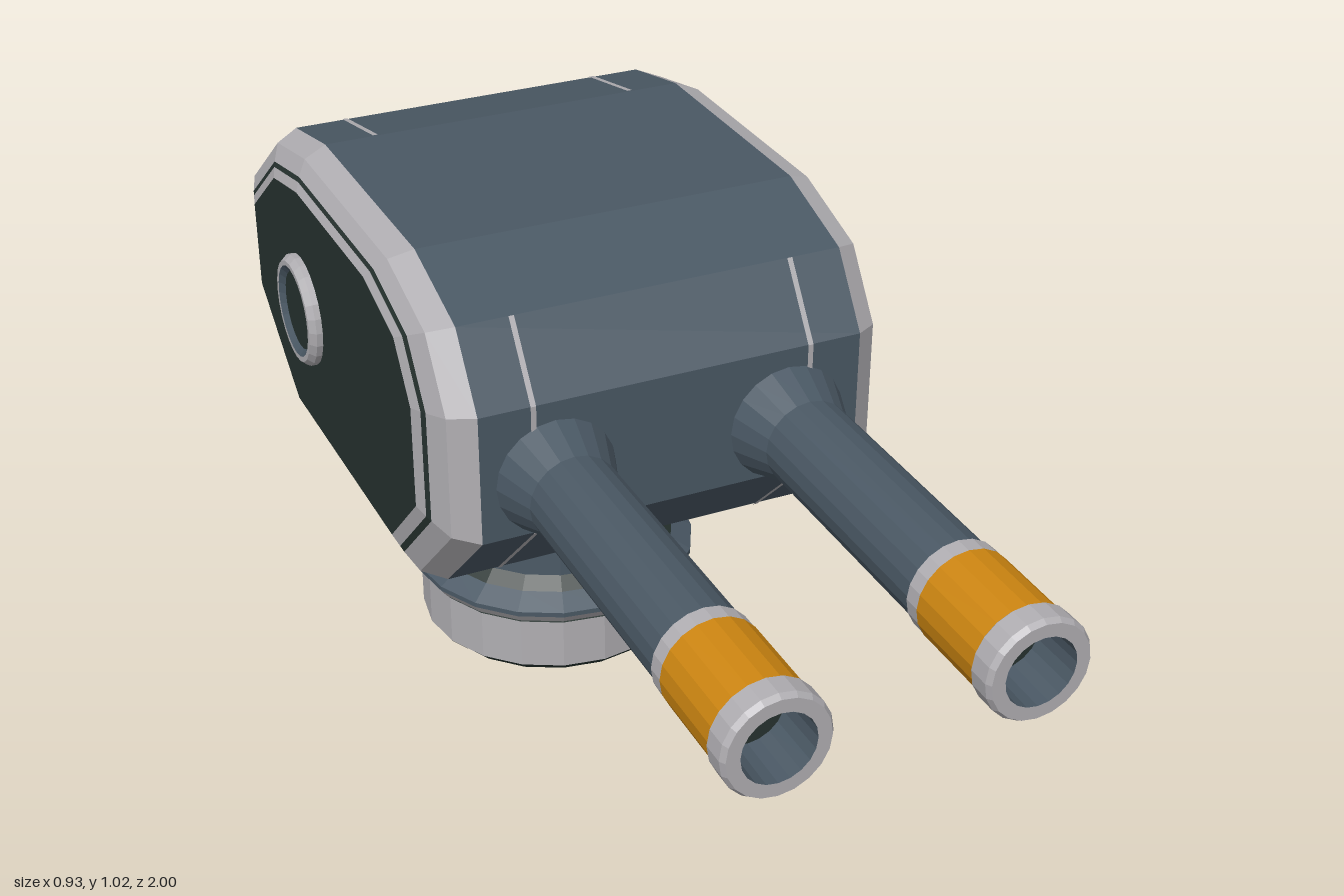
import * as THREE from 'three';

const mat = (name, color) => {
  const m = new THREE.MeshStandardMaterial({ color, flatShading: true });
  m.name = name;
  return m;
};

// Housing outline as [z, y], running front, top, back, bottom
const OUTLINE = [
  [0.17, 0.83], [0.08, 0.96], [-0.11, 1.02], [-0.60, 1.02], [-0.79, 0.98],
  [-1.0, 0.82], [-1.0, 0.595], [-0.73, 0.39], [-0.02, 0.39], [0.17, 0.578],
];
const CZ = -0.415, CY = 0.705;

const ringPoint = (x, s, i) => {
  const [z, y] = OUTLINE[i % OUTLINE.length];
  return [x, CY + (y - CY) * s, CZ + (z - CZ) * s];
};

function fromTriangles(points) {
  const g = new THREE.BufferGeometry();
  g.setAttribute('position', new THREE.Float32BufferAttribute(points.flat(), 3));
  g.computeVertexNormals();
  return g;
}

// Skin between scaled outlines; sections are [x, scale] with x ascending
function loft(sections, skip = []) {
  const pts = [];
  for (let k = 0; k < sections.length - 1; k++) {
    for (let i = 0; i < OUTLINE.length; i++) {
      if (skip.includes(i)) continue;
      const a0 = ringPoint(...sections[k], i), b0 = ringPoint(...sections[k], i + 1);
      const a1 = ringPoint(...sections[k + 1], i), b1 = ringPoint(...sections[k + 1], i + 1);
      pts.push(a0, a1, b0, a1, b1, b0);
    }
  }
  return fromTriangles(pts);
}

// Flat outline panel facing +x or -x
function cap(x, s) {
  const pts = [];
  for (let i = 0; i < OUTLINE.length; i++) {
    const a = ringPoint(x, s, i), b = ringPoint(x, s, i + 1);
    pts.push([x, CY, CZ], ...(x > 0 ? [b, a] : [a, b]));
  }
  return fromTriangles(pts);
}

export function createModel() {
  const slate = mat('slate', 0x4a5864);
  const light = mat('lightGrey', 0xb0aeb2);
  const dark = mat('darkGreen', 0x26322f);
  const orange = mat('orange', 0xcc8511);

  const model = new THREE.Group();
  model.name = 'twinBarrelTurret';

  const add = (parent, name, geometry, material) => {
    const mesh = new THREE.Mesh(geometry, material);
    mesh.name = name;
    parent.add(mesh);
    return mesh;
  };

  // Turned part made of coloured bands, each [name, material, profile of [radius, height]]
  const turned = (name, bands, sides) => {
    const group = new THREE.Group();
    group.name = name;
    for (const [part, material, profile] of bands) {
      const pts = profile.map(([r, h]) => new THREE.Vector2(r, h));
      add(group, part, new THREE.LatheGeometry(pts, sides), material);
    }
    model.add(group);
    return group;
  };

  // Pedestal and neck
  turned('pedestal', [
    ['foot', dark, [[0, 0], [0.25, 0], [0.27, 0.02]]],
    ['baseDrum', light, [[0.27, 0.02], [0.27, 0.125]]],
    ['baseGroove', dark, [[0.27, 0.125], [0.262, 0.128], [0.277, 0.133]]],
    ['flangeEdge', light, [[0.277, 0.133], [0.291, 0.152]]],
    ['flange', slate, [[0.291, 0.152], [0.291, 0.162], [0.25, 0.185]]],
    ['collar', dark, [[0.25, 0.185], [0.224, 0.207]]],
    ['neck', slate, [[0.224, 0.207], [0.215, 0.42]]],
  ], 20).position.z = -0.41;

  // Housing shell
  add(model, 'housing', loft([[-0.365, 1], [0.365, 1]]), slate);

  // Side rims, grooves, panels and seam strips, mirrored
  const rimSets = [
    ['outerRim', light, [[0.365, 1], [0.41, 0.945], [0.428, 0.86]]],
    ['rimGroove', dark, [[0.428, 0.86], [0.432, 0.835]]],
    ['innerRim', light, [[0.432, 0.835], [0.44, 0.785]]],
  ];
  for (const side of [1, -1]) {
    for (const [name, material, sections] of rimSets) {
      const s = sections.map(([x, k]) => [x * side, k]);
      add(model, name, loft(side > 0 ? s : s.reverse()), material);
    }
    add(model, 'sidePanel', cap(0.44 * side, 0.785), dark);
    const x = 0.265 * side;
    add(model, 'seam', loft([[x - 0.005, 1.004], [x + 0.005, 1.004]], [1, 2]), light);

    // Side hub
    const hub = turned('sideHub', [
      ['hubRim', light, [[0.11, 0], [0.11, 0.012], [0.1, 0.024], [0.09, 0.024]]],
      ['hubRing', slate, [[0.09, 0.024], [0.077, 0.014]]],
      ['hubCentre', dark, [[0.077, 0.014], [0, 0.014]]],
    ], 24);
    hub.position.set(0.44 * side, 0.705, -0.565);
    hub.rotation.z = -side * Math.PI / 2;

    // Barrel
    const barrel = turned('barrel', [
      ['barrelTube', slate, [[0.112, 0.14], [0.112, 0.17], [0.083, 0.25], [0.083, 0.745]]],
      ['barrelRing', light, [[0.083, 0.745], [0.088, 0.745], [0.088, 0.778]]],
      ['barrelBand', orange, [[0.088, 0.778], [0.089, 0.778], [0.089, 0.945]]],
      ['muzzle', light, [[0.089, 0.945], [0.094, 0.95], [0.094, 0.99], [0.088, 1], [0.064, 1]]],
      ['bore', slate, [[0.064, 1], [0.062, 0.9]]],
      ['boreEnd', dark, [[0.062, 0.9], [0, 0.9]]],
    ], 20);
    barrel.position.set(0.224 * side, 0.682, 0);
    barrel.rotation.x = Math.PI / 2;
  }

  return model;
}
